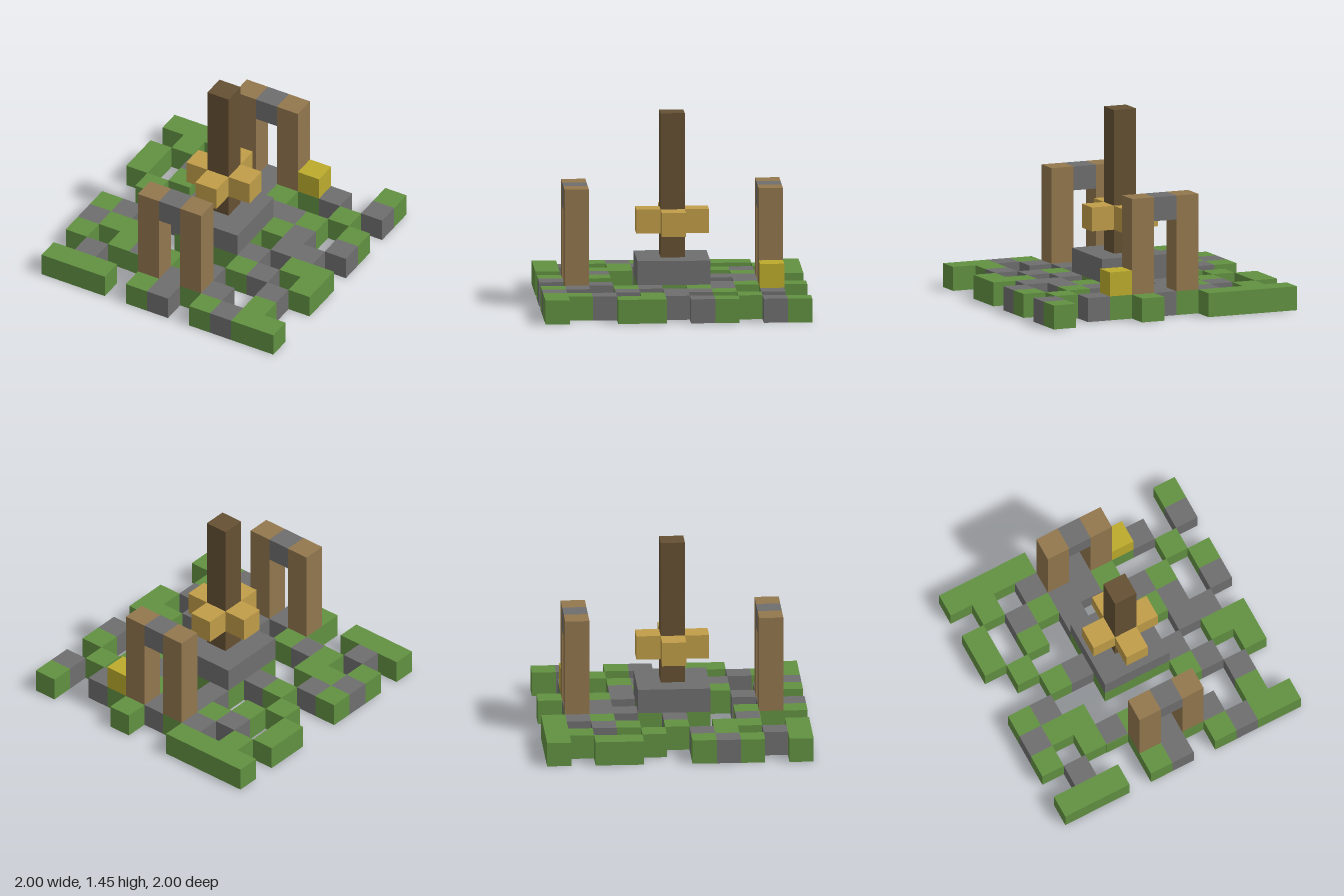
import * as THREE from 'three';

const U = 2 / 11; // size of one block

// Ground plan, back row first: G = grass, S = stone, . = gap
const PLAN = [
  'GGGG..G...G',
  '.G.SGSGGS.S',
  'G.SGSSG..G.',
  'G.G.S.SSG.G',
  '.G..GGGGS.S',
  '..GSG.G.SS.',
  'GS..GGGS.GG',
  'SGG....GS.G',
  'G.GSG.S..S.',
  '.S..GSGS.G.',
  'GGG.GS.GSGG',
];

function material(name, color) {
  const m = new THREE.MeshStandardMaterial({ color });
  m.name = name;
  return m;
}

export function createModel() {
  const grass = material('grass green', 0x629142);
  const stone = material('stone grey', 0x6e6e6e);
  const wood = material('wood brown', 0x92774e);
  const darkWood = material('dark wood', 0x655033);
  const tan = material('tan', 0xc09d48);
  const yellow = material('yellow', 0xbcab2c);

  const model = new THREE.Group();
  model.name = 'ruin';

  // Box spanning w x h x d blocks from block (col, level, row)
  function block(parent, name, mat, col, level, row, w = 1, h = 1, d = 1) {
    const mesh = new THREE.Mesh(new THREE.BoxGeometry(w * U, h * U, d * U), mat);
    mesh.name = name;
    mesh.position.set((col + w / 2 - 5.5) * U, (level + h / 2) * U, (row + d / 2 - 5.5) * U);
    parent.add(mesh);
    return mesh;
  }

  function group(name) {
    const g = new THREE.Group();
    g.name = name;
    model.add(g);
    return g;
  }

  // Broken ground, one box per run of equal blocks
  const ground = group('ground');
  PLAN.forEach((line, row) => {
    for (const run of line.matchAll(/G+|S+/g)) {
      const isGrass = run[0][0] === 'G';
      block(ground, isGrass ? 'grassBlocks' : 'stoneBlocks', isGrass ? grass : stone,
        run.index, 0, row, run[0].length);
    }
  });
  // Mossy front of one stone
  block(ground, 'mossFace', grass, 3, 0, 9, 1, 1, 0.02);

  // Stone platform around the central post
  const platform = group('platform');
  block(platform, 'platformBack', stone, 4, 1, 4, 3, 1, 1);
  block(platform, 'platformFront', stone, 4, 1, 6, 3, 1, 1);
  for (const col of [4, 6]) block(platform, 'platformSide', stone, col, 1, 5);

  // Central post with four arms
  const totem = group('centralPost');
  block(totem, 'post', darkWood, 5, 0, 5, 1, 8, 1);
  for (const [col, row] of [[4, 5], [6, 5], [5, 4], [5, 6]]) {
    block(totem, 'arm', tan, col, 3, row);
  }

  // Front and back arches
  for (const [name, row] of [['backArch', 1], ['frontArch', 9]]) {
    const arch = group(name);
    for (const col of [4, 6]) block(arch, 'archPillar', wood, col, 1, row, 1, 4, 1);
    block(arch, 'archLintel', stone, 5, 4, row);
  }

  // Chest beside the back arch
  block(model, 'chest', yellow, 7, 1, 1);

  return model;
}
